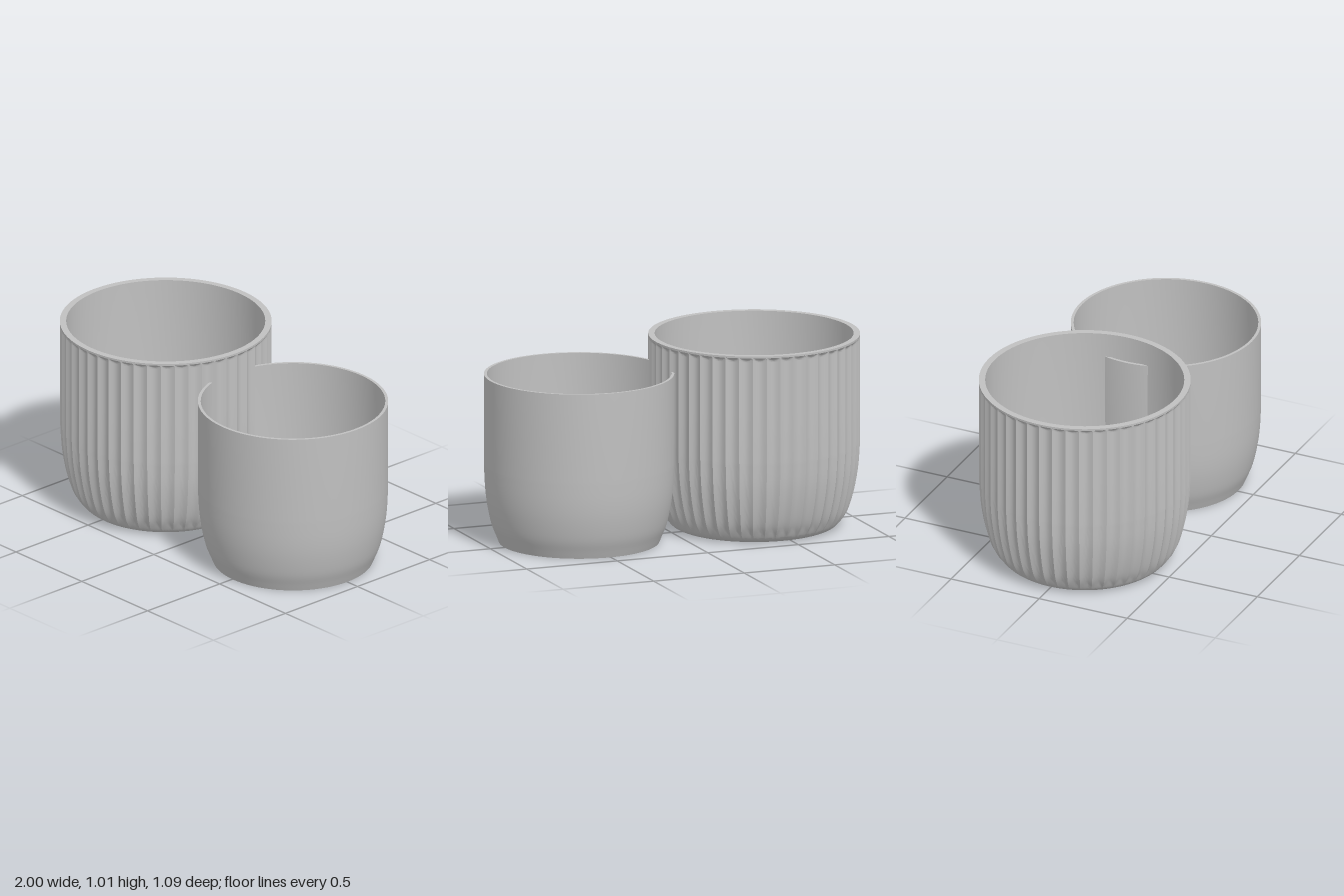
import * as THREE from 'three';
import { toCreasedNormals } from 'three/addons/utils/BufferGeometryUtils.js';

const V = (x, y) => new THREE.Vector2(x, y);
const curve = (pts, n) => new THREE.SplineCurve(pts.map(([x, y]) => V(x, y))).getPoints(n);

export function createModel() {
  const group = new THREE.Group();
  const clay = new THREE.MeshStandardMaterial({ color: 0xc0c0c0 });
  clay.name = 'grey clay';

  const add = (parent, name, geometry, x = 0, y = 0, z = 0) => {
    const mesh = new THREE.Mesh(geometry, clay);
    mesh.name = name;
    mesh.position.set(x, y, z);
    parent.add(mesh);
    return mesh;
  };

  // Fluted outer pot: closed profile from base centre, up the outside, down the inside
  const FLUTES = 48, STEPS = 8, DEPTH = 0.014, TOP = 1.01;
  const outside = curve([[0.39, 0], [0.42, 0.012], [0.45, 0.042], [0.485, 0.1], [0.514, 0.2],
    [0.534, 0.32], [0.543, 0.45]], 26);
  const upper = [0.7, 0.96, 0.975, 0.98, 0.985, 0.99, 0.995, 1.0, TOP].map(y => V(0.543, y));
  const inside = curve([[0.508, 0.45], [0.5, 0.32], [0.48, 0.2], [0.45, 0.11], [0.417, 0.05]], 16);
  const potProfile = [V(0, 0), ...outside, ...upper, V(0.51, TOP), ...inside, V(0, 0.05)];
  const potGeo = new THREE.LatheGeometry(potProfile, FLUTES * STEPS);

  // Press concave flutes into the outside wall, running out near the rim and base
  const p = potGeo.attributes.position;
  const firstOut = 1, lastOut = outside.length + upper.length;
  for (let i = 0; i < p.count; i++) {
    const row = i % potProfile.length;
    if (row < firstOut || row > lastOut) continue;
    const step = Math.floor(i / potProfile.length) % STEPS;
    const y = p.getY(i), r = potProfile[row].x;
    const groove = DEPTH * Math.sin(Math.PI * step / STEPS);
    const runOut = Math.max(0, Math.min((1.0 - y) * 0.8, (y - 0.02) * 0.25));
    const k = (r - Math.min(groove, runOut)) / r;
    p.setX(i, p.getX(i) * k);
    p.setZ(i, p.getZ(i) * k);
  }
  const planter = new THREE.Group();
  planter.name = 'flutedPlanter';
  planter.position.x = -0.457;
  add(planter, 'flutedWall', toCreasedNormals(potGeo, 0.55));

  // Three small pegs on the planter floor
  for (let i = 0; i < 3; i++) {
    const a = Math.PI / 2 + i * Math.PI * 2 / 3;
    add(planter, 'floorPeg', new THREE.CylinderGeometry(0.033, 0.033, 0.05, 32),
      0.264 * Math.cos(a), 0.06, 0.264 * Math.sin(a));
  }
  group.add(planter);

  // Smooth inner pot
  const liner = new THREE.Group();
  liner.name = 'drainagePot';
  liner.position.x = 0.51;
  const SEG = 96, FLOOR = 0.03;
  const linerOut = curve([[0.412, 0], [0.426, 0.035], [0.451, 0.1], [0.472, 0.2],
    [0.483, 0.3], [0.488, 0.42]], 20);
  const linerIn = curve([[0.473, 0.42], [0.468, 0.3], [0.456, 0.2], [0.434, 0.1], [0.404, FLOOR]], 18);
  const linerProfile = [V(0.404, 0), ...linerOut, V(0.488, 0.88), V(0.473, 0.88), ...linerIn];
  add(liner, 'smoothWall', toCreasedNormals(new THREE.LatheGeometry(linerProfile, SEG), 0.55));

  // Floor with one centre hole and a ring of six
  const disc = new THREE.Shape().absarc(0, 0, 0.404, 0, Math.PI * 2, false);
  for (let i = 0; i < 7; i++) {
    const a = i * Math.PI / 3, d = i < 6 ? 0.175 : 0;
    disc.holes.push(new THREE.Path().absarc(d * Math.cos(a), d * Math.sin(a), 0.0335, 0, Math.PI * 2, true));
  }
  const floorGeo = new THREE.ExtrudeGeometry(disc, { depth: FLOOR, bevelEnabled: false, curveSegments: SEG / 2 });
  floorGeo.rotateX(-Math.PI / 2);
  add(liner, 'drainageFloor', toCreasedNormals(floorGeo, 0.55));
  group.add(liner);

  return group;
}
